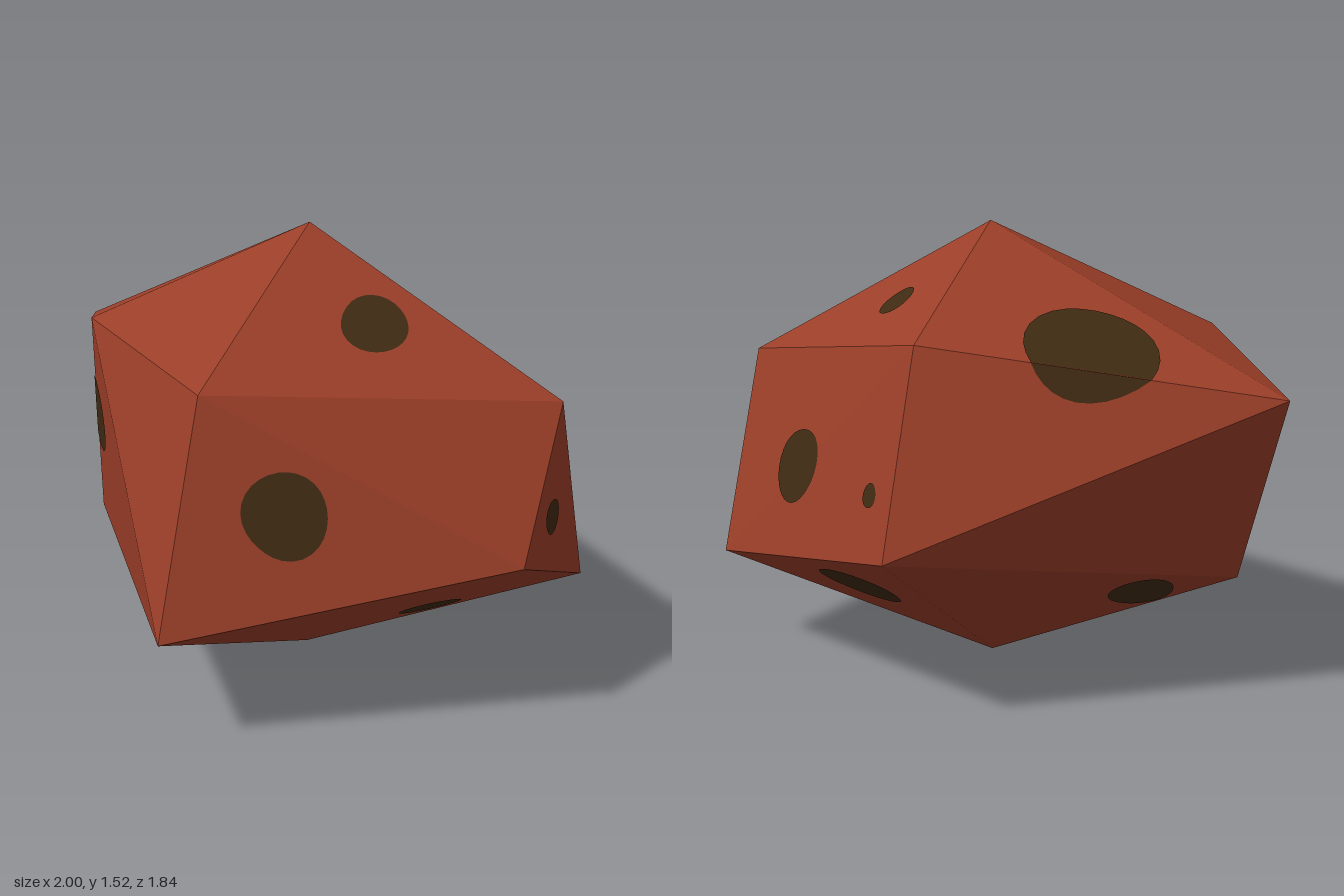
import * as THREE from 'three';

const V = (x, y, z) => new THREE.Vector3(x, y, z);

// Twenty-sided rock: two poles and two staggered rings of five corners
const top = V(0.09, 1.52, -0.04);
const bottom = V(0.09, 0, -0.04);
const upper = [V(0.09, 1.10, 0.67), V(1, 1.03, -0.04), V(0.09, 1.19, -0.67), V(-1, 1.03, -0.32), V(-0.61, 1.17, 0.24)];
const lower = [V(0.09, 0.37, 0.92), V(1, 0.56, 0.24), V(1, 0.345, -0.32), V(0.09, 0.56, -0.92), V(-0.79, 0.365, -0.04)];
const core = V(0.09, 0.76, -0.04);

// Dark patches: centre and radius
const SPOTS = [
  [V(-0.65, 0.80, 0.16), 0.145],
  [V(0.36, 0.74, 0.61), 0.135],
  [V(0.42, 1.25, 0.13), 0.113],
  [V(-0.11, 0.30, 0.52), 0.14],
  [V(0.57, 0.25, -0.02), 0.105],
  [V(1, 0.66, 0.01), 0.058],
  [V(0.62, 0.72, -0.455), 0.131],
  [V(0.20, 0.73, -0.775), 0.039],
  [V(0.325, 1.265, -0.285), 0.068],
  [V(0.38, 0.34, -0.49), 0.15],
  [V(-0.495, 0.318, -0.16), 0.115],
  [V(-0.40, 1.16, -0.43), 0.21],
];

function rockFaces() {
  const faces = [];
  for (let i = 0; i < 5; i++) {
    const j = (i + 1) % 5;
    faces.push(
      [top, upper[i], upper[j]],
      [upper[i], lower[i], lower[j]],
      [upper[i], lower[j], upper[j]],
      [bottom, lower[j], lower[i]],
    );
  }
  return faces;
}

function geometryFrom(points) {
  const g = new THREE.BufferGeometry().setFromPoints(points);
  g.computeVertexNormals();
  return g;
}

// Keep the part of a polygon on the positive side of a plane through the core
function clip(poly, normal) {
  const out = [];
  poly.forEach((p, i) => {
    const q = poly[(i + 1) % poly.length];
    const dp = p.clone().sub(core).dot(normal);
    const dq = q.clone().sub(core).dot(normal);
    if (dp >= 0) out.push(p);
    if ((dp >= 0) !== (dq >= 0)) out.push(p.clone().lerp(q, dp / (dp - dq)));
  });
  return out;
}

// A slightly uneven disc wrapped over the facets it touches
function spotGeometry(centre, radius, seed, faces) {
  const planes = faces.map((f) => new THREE.Plane().setFromCoplanarPoints(...f));
  const dir = centre.clone().sub(core);
  const reach = (pl) => {
    const d = pl.normal.dot(dir);
    return d > 1e-6 ? -pl.distanceToPoint(core) / d : Infinity;
  };
  const hit = planes.reduce((a, b) => (reach(b) < reach(a) ? b : a));
  const mid = core.clone().addScaledVector(dir, reach(hit));
  const turn = new THREE.Quaternion().setFromUnitVectors(V(0, 0, 1), hit.normal);
  const disc = [];
  for (let k = 0; k < 28; k++) {
    const a = (k / 28) * Math.PI * 2;
    const r = radius * (1 + 0.04 * Math.cos(2 * a + seed) + 0.025 * Math.cos(3 * a + seed * 2));
    disc.push(V(r * Math.cos(a), r * Math.sin(a), 0).applyQuaternion(turn).add(mid));
  }
  const points = [];
  faces.forEach((f, n) => {
    let poly = disc;
    for (let e = 0; e < 3; e++) {
      const a = f[e].clone().sub(core);
      const b = f[(e + 1) % 3].clone().sub(core);
      poly = clip(poly, a.cross(b));
    }
    if (poly.length < 3) return;
    // push the piece radially onto its facet, just proud of the surface
    const onFace = poly.map((p) => {
      const d = p.clone().sub(core);
      const t = -planes[n].distanceToPoint(core) / planes[n].normal.dot(d);
      return core.clone().addScaledVector(d, t).addScaledVector(planes[n].normal, 0.003);
    });
    for (let k = 1; k < onFace.length - 1; k++) points.push(onFace[0], onFace[k], onFace[k + 1]);
  });
  return geometryFrom(points);
}

export function createModel() {
  const group = new THREE.Group();
  group.name = 'spottedRock';
  const rust = new THREE.MeshStandardMaterial({ name: 'rustRed', color: 0x9a3e28 });
  const dark = new THREE.MeshStandardMaterial({ name: 'darkBrown', color: 0x3f2a12 });
  const faces = rockFaces();

  const rock = new THREE.Mesh(geometryFrom(faces.flat()), rust);
  rock.name = 'rock';
  group.add(rock);

  const spots = new THREE.Group();
  spots.name = 'spots';
  SPOTS.forEach(([centre, radius], i) => {
    const spot = new THREE.Mesh(spotGeometry(centre, radius, i * 1.7, faces), dark);
    spot.name = `spot${i + 1}`;
    spots.add(spot);
  });
  group.add(spots);
  return group;
}
